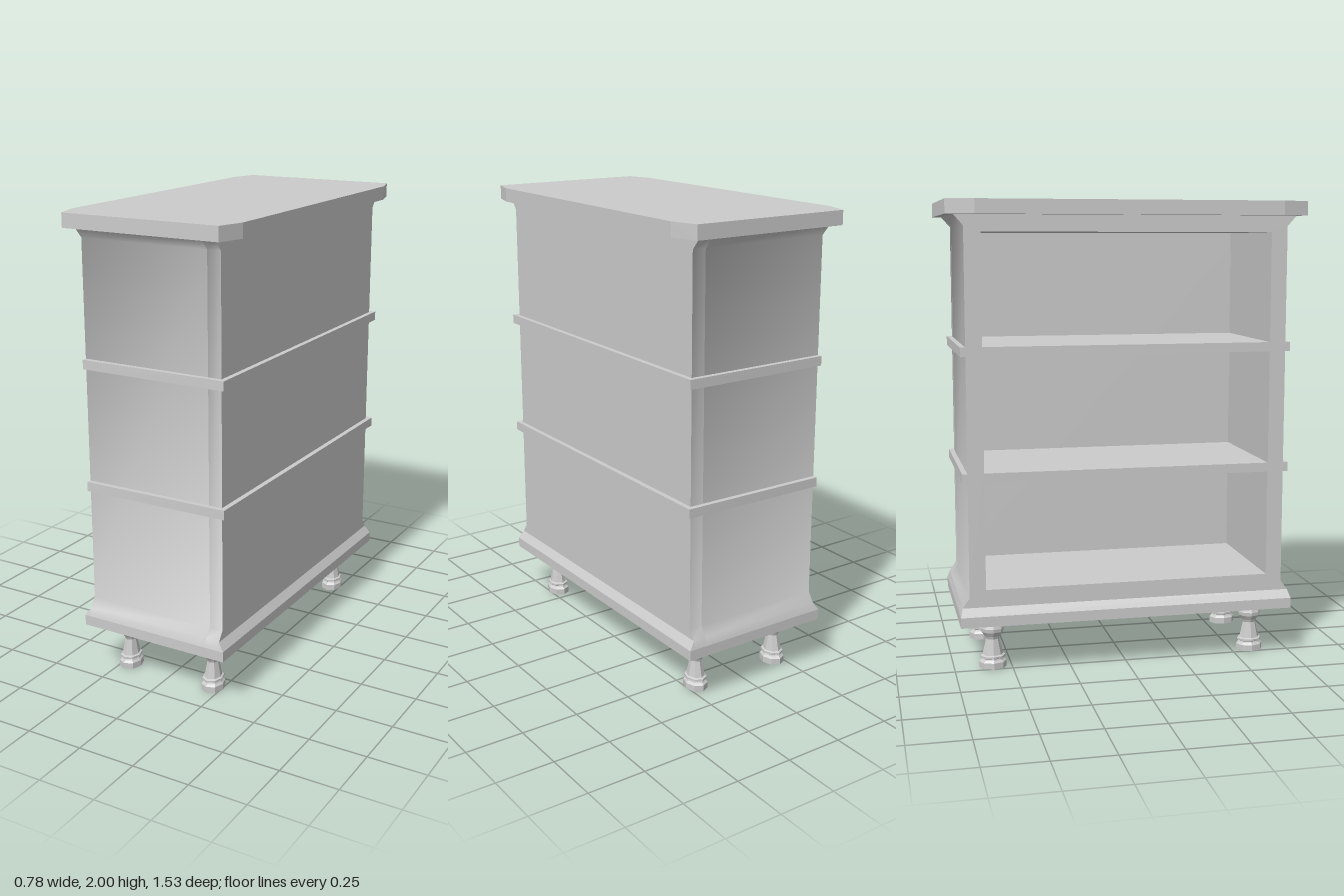
import * as THREE from 'three';
import { toCreasedNormals } from 'three/addons/utils/BufferGeometryUtils.js';

const grey = new THREE.MeshStandardMaterial({ color: 0xcccccc });
const greyFlat = new THREE.MeshStandardMaterial({ color: 0xcccccc, flatShading: true });

function part(name, geometry, material = grey) {
  const mesh = new THREE.Mesh(geometry, material);
  mesh.name = name;
  return mesh;
}

// Closed shape from the points of one half, mirrored in its first coordinate
function mirroredShape(half) {
  const other = half.map(([a, b]) => [-a, b]).reverse();
  return new THREE.Shape([...half, ...other].map(([a, b]) => new THREE.Vector2(a, b)));
}

// Extrudes a z-y outline along x, from x0 to x1
function extrudeAlongX(shape, x0, x1) {
  const g = new THREE.ExtrudeGeometry(shape, { depth: x1 - x0, bevelEnabled: false });
  g.rotateY(Math.PI / 2).translate(x0, 0, 0);
  return toCreasedNormals(g, 0.9);
}

// Extrudes an x-z outline upwards, from y0 to y1
function extrudeUp(shape, y0, y1) {
  const g = new THREE.ExtrudeGeometry(shape, { depth: y1 - y0, bevelEnabled: false });
  return g.rotateX(-Math.PI / 2).translate(0, y0, 0);
}

// Cabinet outline with flared foot and head
const cabinetShape = () => mirroredShape([
  [0.73, 0.265], [0.72, 0.3], [0.69, 0.342], [0.69, 1.895], [0.73, 1.94],
]);

export function createModel() {
  const model = new THREE.Group();

  // Carcass: open frame with three compartments facing -x, closed by a panel at +x
  const frame = cabinetShape();
  for (const [y0, y1] of [[0.375, 0.835], [0.875, 1.362], [1.402, 1.87]]) {
    frame.holes.push(new THREE.Path([
      [-0.62, y0], [-0.62, y1], [0.62, y1], [0.62, y0],
    ].map(([z, y]) => new THREE.Vector2(z, y))));
  }
  model.add(part('openFrame', extrudeAlongX(frame, -0.32, 0.26)));
  model.add(part('closedPanel', extrudeAlongX(cabinetShape(), 0.26, 0.32)));

  // Raised bands at shelf height, around the three closed sides
  const band = new THREE.Shape([
    [-0.32, -0.712], [0.342, -0.712], [0.342, 0.712], [-0.32, 0.712],
    [-0.32, 0.68], [0.31, 0.68], [0.31, -0.68], [-0.32, -0.68],
  ].map(([x, z]) => new THREE.Vector2(x, z)));
  for (const y of [0.835, 1.362]) model.add(part('band', extrudeUp(band, y, y + 0.04)));

  // Top board with clipped corners
  const top = mirroredShape([[0.355, -0.766], [0.39, -0.65], [0.39, 0.65], [0.355, 0.766]]);
  model.add(part('topBoard', extrudeUp(top, 1.94, 2)));

  // Plinth and its sloping moulding
  const plinth = part('plinth', new THREE.BoxGeometry(0.688, 0.045, 1.46));
  plinth.position.y = 0.2425;
  model.add(plinth);

  const slope = new THREE.BoxGeometry(0.688, 0.035, 1.46);
  const pos = slope.attributes.position;
  for (let i = 0; i < pos.count; i++) {
    if (pos.getY(i) > 0) pos.setXYZ(i, Math.sign(pos.getX(i)) * 0.32, pos.getY(i), Math.sign(pos.getZ(i)) * 0.72);
  }
  slope.computeVertexNormals();
  const moulding = part('plinthMoulding', slope);
  moulding.position.y = 0.2825;
  model.add(moulding);

  // Turned legs, slightly narrower across x
  const legProfile = [
    [0, 0], [0.06, 0], [0.06, 0.027], [0.05, 0.036], [0.047, 0.042], [0.055, 0.046], [0.055, 0.054],
    [0.045, 0.058], [0.029, 0.128], [0.034, 0.14], [0.048, 0.16], [0.05, 0.175],
    [0.043, 0.19], [0.033, 0.2], [0.05, 0.21], [0.05, 0.22], [0, 0.22],
  ].map(([r, y]) => new THREE.Vector2(r, y));
  const legGeometry = new THREE.LatheGeometry(legProfile, 8).scale(0.8, 1, 1);
  for (const x of [-0.21, 0.21]) {
    for (const z of [-0.583, 0.583]) {
      const leg = part('leg', legGeometry, greyFlat);
      leg.position.set(x, 0, z);
      model.add(leg);
    }
  }
  return model;
}
